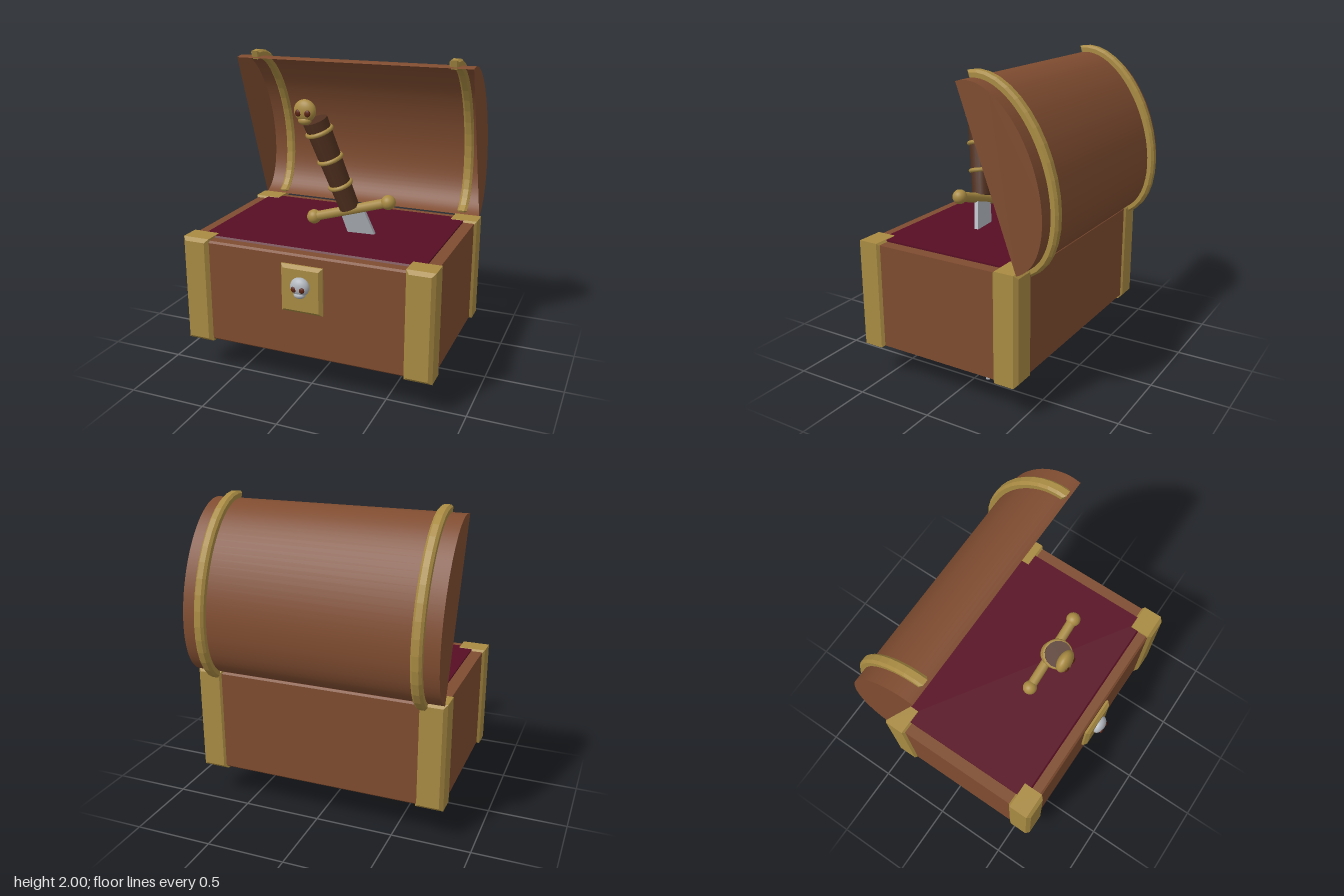
import * as THREE from 'three';

const mat = (name, color, side = THREE.FrontSide) => {
  const m = new THREE.MeshStandardMaterial({ color, side });
  m.name = name;
  return m;
};

export function createModel() {
  const wood = mat('wood', 0x7f4c30, THREE.DoubleSide);
  const gold = mat('gold', 0xa88a42);
  const velvet = mat('velvet', 0x580e24);
  const grip = mat('darkGrip', 0x50301f);
  const steel = mat('steel', 0xb2b7be);
  const socket = mat('eyeSocket', 0x5c2414);

  const model = new THREE.Group();
  model.name = 'treasureChest';

  const add = (parent, name, geo, material, x = 0, y = 0, z = 0) => {
    const mesh = new THREE.Mesh(geo, material);
    mesh.name = name;
    mesh.position.set(x, y, z);
    parent.add(mesh);
    return mesh;
  };

  // Box with chamfered edges, centred on the origin
  const chamferBox = (w, h, d, c) => {
    const x = w / 2 - c, y = h / 2 - c;
    const s = new THREE.Shape([
      new THREE.Vector2(-x, -y), new THREE.Vector2(x, -y),
      new THREE.Vector2(x, y), new THREE.Vector2(-x, y),
    ]);
    const g = new THREE.ExtrudeGeometry(s, {
      depth: d - 2 * c, bevelEnabled: true, bevelThickness: c, bevelSize: c, bevelSegments: 1,
    });
    return g.translate(0, 0, -(d / 2 - c));
  };

  const ball = (x, y, z) => new THREE.SphereGeometry(1, 24, 16).scale(x, y, z);

  // Skull ornament facing +z
  const addSkull = (name, material, x, y, z, w, h, d) => {
    const skull = new THREE.Group();
    skull.name = name;
    skull.position.set(x, y, z);
    add(skull, 'cranium', ball(w, h, d), material);
    add(skull, 'jaw', ball(w * 0.6, h * 0.4, d * 0.8), material, 0, -h * 0.85, d * 0.1);
    for (const s of [-1, 1]) {
      add(skull, 'eye', ball(w * 0.28, w * 0.3, d * 0.25), socket, s * w * 0.42, -h * 0.15, d * 0.83);
    }
    model.add(skull);
  };

  // Chest body and velvet filling
  add(model, 'chestBody', chamferBox(1.6, 0.67, 1.1, 0.012), wood, 0, 0.578, 0.06);
  add(model, 'velvetFilling', chamferBox(1.45, 0.1, 0.96, 0.012), velvet, 0, 0.873, 0.06);

  // Corner posts
  for (const x of [-0.728, 0.728]) {
    for (const z of [-0.417, 0.547]) {
      add(model, 'cornerPost', chamferBox(0.176, 0.695, 0.17, 0.022), gold, x, 0.578, z);
    }
  }

  // Lock plate with skull
  add(model, 'lockPlate', chamferBox(0.27, 0.305, 0.05, 0.02), gold, 0, 0.7, 0.62);
  addSkull('lockSkull', steel, 0, 0.73, 0.652, 0.062, 0.058, 0.04);

  // Open lid: x is outward, y runs along the opening, z runs across the chest
  const A = 0.548, B = 0.308;
  const lid = new THREE.Group();
  lid.name = 'lid';
  lid.matrix.makeBasis(
    new THREE.Vector3(0, 0.342, -0.94), new THREE.Vector3(0, 0.94, 0.342), new THREE.Vector3(1, 0, 0));
  lid.quaternion.setFromRotationMatrix(lid.matrix);
  lid.position.set(0, 1.435, -0.302);
  model.add(lid);

  const arc = (a, b, n, from, to) => Array.from({ length: n + 1 }, (_, i) => {
    const t = from + (to - from) * i / n;
    return new THREE.Vector2(b * Math.sin(t), -a * Math.cos(t));
  });
  const shell = new THREE.CylinderGeometry(1, 1, 1.6, 40, 1, true, 0, Math.PI);
  add(lid, 'lidShell', shell.rotateX(Math.PI / 2).scale(B, A, 1), wood);
  for (const s of [-1, 1]) {
    const end = new THREE.ShapeGeometry(new THREE.Shape(arc(A, B, 40, 0, Math.PI)));
    if (s < 0) end.rotateX(Math.PI);
    add(lid, 'lidEnd', end, wood, 0, 0, s * 0.8);

    // Bevelled band passing through the shell
    const o = 0.043, i = 0.016, e = 0.06;
    const outline = [
      ...arc(A + o, B + o, 18, e, Math.PI - e),
      ...arc(A - i, B - i, 18, e, Math.PI - e).reverse(),
    ];
    const band = new THREE.ExtrudeGeometry(new THREE.Shape(outline), {
      depth: 0.036, bevelEnabled: true, bevelThickness: 0.015, bevelSize: 0.014,
      bevelOffset: -0.014, bevelSegments: 1,
    });
    add(lid, 'lidBand', band, gold, 0, 0, s * 0.674 - 0.018);
  }

  // Sword: local y runs up the handle, local x along the guard
  const sword = new THREE.Group();
  sword.name = 'sword';
  const up = new THREE.Vector3(-0.283, 0.933, 0.217).normalize();
  const across = new THREE.Vector3(0.957, 0.29, 0).normalize();
  sword.matrix.makeBasis(across, up, new THREE.Vector3().crossVectors(across, up));
  sword.quaternion.setFromRotationMatrix(sword.matrix);
  sword.position.set(0.128, 1.082, 0.17);
  model.add(sword);

  add(sword, 'handle', new THREE.CylinderGeometry(0.077, 0.063, 0.6, 16), grip, 0, 0.32, 0);
  for (const y of [0.18, 0.36, 0.545]) {
    const r = 0.063 + 0.014 * (y - 0.02) / 0.6;
    add(sword, 'handleRing', new THREE.TorusGeometry(r, 0.014, 8, 24).rotateX(Math.PI / 2), gold, 0, y, 0);
  }
  add(sword, 'guard', new THREE.CylinderGeometry(0.032, 0.032, 0.5, 8).rotateZ(Math.PI / 2), gold);
  for (const s of [-1, 1]) add(sword, 'guardBall', ball(0.046, 0.046, 0.046), gold, s * 0.26, 0, 0);

  // Blade with a slanted tip
  const blade = new THREE.Shape([
    [-0.07, 0], [-0.085, -0.5], [-0.087, -0.92], [0.022, -1.16], [0.104, -0.937], [0.108, -0.5], [0.085, 0],
  ].map(([x, y]) => new THREE.Vector2(x, y)));
  add(sword, 'blade', new THREE.ExtrudeGeometry(blade, { depth: 0.026, bevelEnabled: false }), steel, 0, 0, -0.02);

  // Skull pommel
  addSkull('pommel', gold, -0.083, 1.725, 0.368, 0.07, 0.068, 0.04);

  return model;
}
